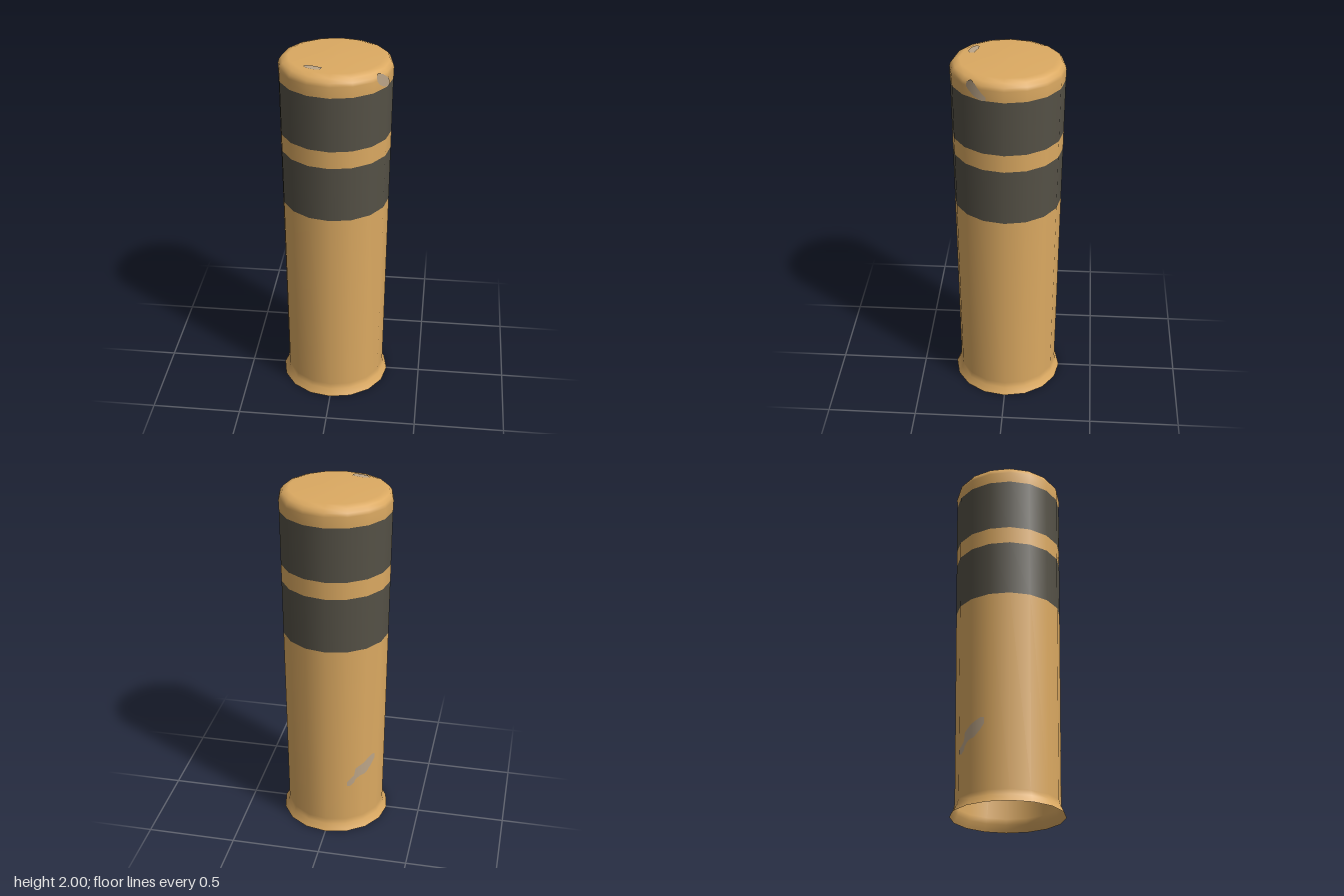
import * as THREE from 'three';

const SIDES = 16;

// Outer silhouette of the post as [radius, height]
const PROFILE = [
  [0.308, 0], [0.302, 0.012], [0.288, 0.04], [0.281, 0.07],
  [0.302, 1.885], [0.304, 1.945], [0.299, 1.964], [0.284, 1.984], [0.25, 1.996], [0, 1.998],
];

function radiusAt(y) {
  for (let i = 1; i < PROFILE.length; i++) {
    const [r0, y0] = PROFILE[i - 1];
    const [r1, y1] = PROFILE[i];
    if (y <= y1) return THREE.MathUtils.lerp(r0, r1, (y - y0) / (y1 - y0));
  }
  return 0;
}

// One coloured section of the post between two heights
function section(name, y0, y1, material) {
  const inner = PROFILE.filter(([, y]) => y > y0 && y < y1);
  const points = [[radiusAt(y0), y0], ...inner, [radiusAt(y1), y1]];
  const geometry = new THREE.LatheGeometry(points.map(([r, y]) => new THREE.Vector2(r, y)), SIDES);
  const mesh = new THREE.Mesh(geometry, material);
  mesh.name = name;
  return mesh;
}

// Thin patch hugging the faceted wall; columns are [angle in degrees, low y, high y]
function wallScuff(name, columns, material) {
  const across = 6, rows = 5, lift = 0.003;
  const positions = [], normals = [], indices = [];
  const step = (2 * Math.PI) / SIDES;
  const total = (columns.length - 1) * across;
  for (let i = 0; i <= total; i++) {
    const k = Math.min(Math.floor(i / across), columns.length - 2);
    const t = i / across - k;
    const [deg, low, high] = columns[k].map((v, j) => THREE.MathUtils.lerp(v, columns[k + 1][j], t));
    const a = THREE.MathUtils.degToRad(deg);
    const facet = Math.cos(step / 2) / Math.cos((a % step) - step / 2);
    for (let j = 0; j <= rows; j++) {
      const y = THREE.MathUtils.lerp(low, high, j / rows);
      const r = radiusAt(y) * facet + lift;
      positions.push(Math.sin(a) * r, y, Math.cos(a) * r);
      normals.push(Math.sin(a), 0, Math.cos(a));
      if (i < total && j < rows) {
        const p = i * (rows + 1) + j, q = p + rows + 1;
        indices.push(p, q, q + 1, p, q + 1, p + 1);
      }
    }
  }
  const geometry = new THREE.BufferGeometry();
  geometry.setAttribute('position', new THREE.Float32BufferAttribute(positions, 3));
  geometry.setAttribute('normal', new THREE.Float32BufferAttribute(normals, 3));
  geometry.setIndex(indices);
  const mesh = new THREE.Mesh(geometry, material);
  mesh.name = name;
  return mesh;
}

export function createModel() {
  const paint = (name, color) => {
    const m = new THREE.MeshStandardMaterial({ color, side: THREE.DoubleSide });
    m.name = name;
    return m;
  };
  const yellow = paint('yellowPaint', 0xdcaa62);
  const dark = paint('darkBand', 0x555146);
  const worn = paint('wornPaint', 0xbca588);

  const post = new THREE.Group();
  post.name = 'bollard';

  // Hollow post, open at the bottom, with two dark bands
  post.add(
    section('flaredBody', 0, 1.175, yellow),
    section('lowerBand', 1.175, 1.488, dark),
    section('middleRing', 1.488, 1.585, yellow),
    section('upperBand', 1.585, 1.885, dark),
    section('roundedCap', 1.885, 1.998, yellow),
  );

  // Scuffs on the cap edge and low on the back
  post.add(
    wallScuff('capEdgeScuff', [
      [50, 1.942, 1.965], [54, 1.918, 1.977], [60, 1.898, 1.965], [66, 1.887, 1.94], [72, 1.887, 1.908],
    ], worn),
    wallScuff('backScuff', [
      [204, 0.305, 0.33], [208, 0.298, 0.345], [213, 0.315, 0.365], [214.5, 0.335, 0.41],
      [220, 0.355, 0.425], [229, 0.365, 0.45], [237, 0.4, 0.468], [242, 0.432, 0.465],
    ], worn),
  );

  // Scuff on the flat top
  const outline = [
    [-0.148, 0.17], [-0.135, 0.158], [-0.105, 0.16], [-0.07, 0.173], [-0.052, 0.177],
    [-0.052, 0.2], [-0.065, 0.211], [-0.095, 0.207], [-0.13, 0.192],
  ].map(([x, z]) => new THREE.Vector2(x, -z));
  const topGeometry = new THREE.ShapeGeometry(new THREE.Shape(outline));
  topGeometry.rotateX(-Math.PI / 2).translate(0, 2, 0);
  const topScuff = new THREE.Mesh(topGeometry, worn);
  topScuff.name = 'topScuff';
  post.add(topScuff);

  return post;
}
